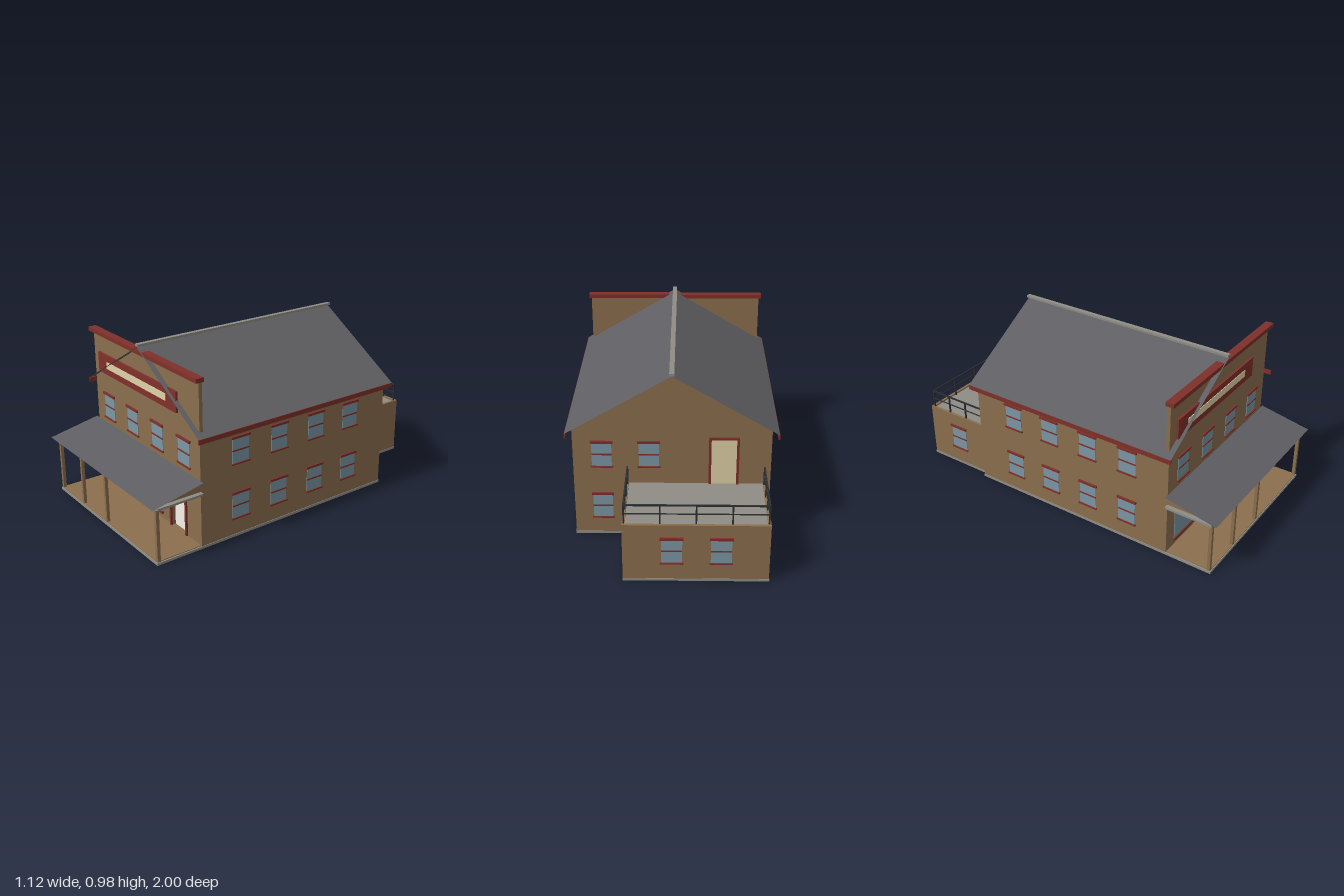
import * as THREE from 'three';

const paint = (name, color, double) => {
  const m = new THREE.MeshStandardMaterial({ color });
  m.name = name;
  if (double) m.side = THREE.DoubleSide;
  return m;
};

export function createModel() {
  const root = new THREE.Group();
  root.name = 'storefrontBuilding';
  const wood = paint('brown siding', 0x8b6f4e);
  const red = paint('dark red trim', 0x80302a);
  const roofGrey = paint('slate roof', 0x5f5f63, true);
  const stone = paint('light grey', 0x8f8d85);
  const glass = paint('blue glass', 0x7c98a6);
  const cream = paint('cream', 0xe0d2a8);
  const plaster = paint('interior plaster', 0xe0dcd4);
  const iron = paint('railing iron', 0x2c2f33);

  const add = (parent, name, geometry, material) => {
    const m = new THREE.Mesh(geometry, material);
    m.name = name;
    parent.add(m);
    return m;
  };
  // box given by its min and max on each axis
  const box = (name, mat, x0, x1, y0, y1, z0, z1, parent = root) => {
    const m = add(parent, name, new THREE.BoxGeometry(x1 - x0, y1 - y0, z1 - z0), mat);
    m.position.set((x0 + x1) / 2, (y0 + y1) / 2, (z0 + z1) / 2);
    return m;
  };
  const polygon = pts => new THREE.Shape(pts.map(p => new THREE.Vector2(...p)));
  const quad = (name, mat, a, b, c, d) => {
    const g = new THREE.BufferGeometry();
    g.setAttribute('position', new THREE.Float32BufferAttribute([...a, ...b, ...c, ...a, ...c, ...d], 3));
    g.computeVertexNormals();
    return add(root, name, g, mat);
  };
  const rect = (x0, x1, y0, y1) => polygon([[x0, y0], [x1, y0], [x1, y1], [x0, y1]]);

  // foundations
  box('foundation', stone, -0.528, 0.528, 0, 0.014, -0.572, 0.972);
  box('annexFoundation', stone, -0.502, 0.247, 0, 0.014, -0.992, -0.572);
  box('porchFloor', wood, -0.52, 0.52, 0.014, 0.018, 0.7, 0.967);

  // false front with an open doorway
  const front = rect(-0.525, 0.525, 0.014, 0.925);
  front.holes.push(rect(0.247, 0.385, 0.018, 0.26));
  add(root, 'falseFront', new THREE.ExtrudeGeometry(front, { depth: 0.02, bevelEnabled: false }), wood)
    .position.z = 0.68;
  box('cornice', red, -0.54, 0.54, 0.922, 0.945, 0.678, 0.725);
  box('signBoard', red, -0.463, 0.336, 0.7, 0.815, 0.7, 0.713);
  box('signPanel', cream, -0.368, 0.24, 0.738, 0.778, 0.713, 0.716);

  // side walls and rear gable
  for (const s of [-1, 1])
    box('sideWall', wood, s * 0.52 - 0.005, s * 0.52 + 0.005, 0.014, 0.65, -0.57, 0.68);
  const gable = polygon([[-0.525, 0.014], [0.525, 0.014], [0.525, 0.652], [0, 0.963], [-0.525, 0.652]]);
  add(root, 'rearGable', new THREE.ExtrudeGeometry(gable, { depth: 0.012, bevelEnabled: false }), wood)
    .position.z = -0.57;

  // plain interior behind the doorway
  box('interiorFloor', plaster, -0.515, 0.515, 0.014, 0.018, -0.558, 0.68);
  box('interiorCeiling', plaster, -0.515, 0.515, 0.31, 0.318, -0.558, 0.68);
  box('interiorRearWall', plaster, -0.515, 0.515, 0.018, 0.31, -0.558, -0.554);
  for (const s of [-1, 1])
    box('interiorSideWall', plaster, s * 0.513 - 0.002, s * 0.513 + 0.002, 0.018, 0.31, -0.554, 0.68);
  box('interiorGlass', glass, 0.322, 0.427, 0.11, 0.25, -0.554, -0.552);
  box('interiorGlassBar', red, 0.322, 0.427, 0.177, 0.185, -0.552, -0.549);

  // main roof
  const eave = 0.56, eaveY = 0.635, ridgeY = 0.966, back = -0.6, fore = 0.73;
  for (const s of [-1, 1]) {
    const pts = [[0, ridgeY, back], [0, ridgeY, fore], [s * eave, eaveY, fore], [s * eave, eaveY, back]];
    quad('roofSlope', roofGrey, ...(s > 0 ? pts : pts.reverse()));
    box('eaveFascia', red, s * 0.558 - 0.004, s * 0.558 + 0.004, 0.608, 0.634, back, fore);
  }
  box('ridgeCap', stone, -0.013, 0.013, 0.969, 0.982, -0.606, fore);

  // porch: sloping sheet, end wedges, beam and posts
  quad('porchRoof', roofGrey, [-0.552, 0.39, 0.7], [-0.552, 0.33, 1], [0.552, 0.33, 1], [0.552, 0.39, 0.7]);
  const wedge = new THREE.ExtrudeGeometry(polygon([[0.7, 0.33], [0.968, 0.33], [0.968, 0.335], [0.7, 0.387]]),
    { depth: 1.05, bevelEnabled: false });
  wedge.rotateY(-Math.PI / 2).translate(0.525, 0, 0);
  add(root, 'porchRoofFill', wedge, wood);
  box('porchCeiling', stone, -0.55, 0.55, 0.318, 0.33, 0.7, 0.972);
  box('porchBeam', stone, -0.527, 0.527, 0.31, 0.318, 0.948, 0.97);
  for (const x of [-0.516, -0.265, 0, 0.516])
    box('porchPost', wood, x - 0.009, x + 0.009, 0.016, 0.312, 0.949, 0.967);

  // rear annex with balcony deck inside a low rim
  box('annex', wood, -0.5, 0.245, 0.014, 0.322, -0.99, -0.57);
  box('balconyDeck', stone, -0.485, 0.23, 0.322, 0.326, -0.975, -0.57);
  box('balconyRim', wood, -0.5, 0.245, 0.322, 0.335, -0.99, -0.975);
  box('balconyRim', wood, -0.5, -0.485, 0.322, 0.335, -0.975, -0.57);
  box('balconyRim', wood, 0.23, 0.245, 0.322, 0.335, -0.975, -0.57);

  // balcony railing on three sides
  const rail = new THREE.Group();
  rail.name = 'balconyRailing';
  root.add(rail);
  const xl = -0.49, xr = 0.235, zb = -0.97, zf = -0.595, t = 0.004;
  const post = (x, z) => box('railPost', iron, x - t, x + t, 0.326, 0.44, z - t, z + t, rail);
  for (let i = 0; i < 5; i++) post(xl + (xr - xl) * i / 4, zb);
  for (const x of [xl, xr])
    for (let i = 1; i < 4; i++) post(x, zb + (zf - zb) * i / 3);
  for (const [y, h] of [[0.44, 0.004], [0.39, 0.0025]]) {
    box('rail', iron, xl, xr, y - h, y + h, zb - h, zb + h, rail);
    for (const x of [xl, xr]) box('rail', iron, x - h, x + h, y - h, y + h, zb, zf, rail);
  }

  // sash window facing local +z
  const sash = (x, y, z, turn) => {
    const g = new THREE.Group();
    g.name = 'window';
    box('glass', glass, -0.053, 0.053, -0.07, 0.07, -0.002, 0.003, g);
    box('sashBar', red, -0.053, 0.053, -0.004, 0.004, 0, 0.006, g);
    box('header', red, -0.06, 0.06, 0.067, 0.08, 0, 0.01, g);
    box('sill', red, -0.06, 0.06, -0.078, -0.07, 0, 0.01, g);
    g.position.set(x, y, z);
    g.rotation.y = turn;
    root.add(g);
  };
  const upper = 0.5, lower = 0.184, half = Math.PI / 2;
  for (const x of [-0.38, -0.127, 0.127, 0.381]) sash(x, upper, 0.7, 0);
  for (const s of [-1, 1])
    for (const z of [0.45, 0.195, -0.06, -0.312])
      for (const y of [lower, upper]) sash(s * 0.525, y, z, s * half);
  for (const [x, y] of [[0.372, upper], [0.122, upper], [0.372, lower]]) sash(x, y, -0.57, Math.PI);
  for (const x of [-0.255, -0.005]) sash(x, lower, -0.99, Math.PI);
  sash(0.245, lower, -0.775, half);
  sash(-0.5, lower, -0.775, -half);

  // shop windows
  for (const [x0, x1] of [[-0.445, -0.167], [-0.066, 0.15]]) {
    box('shopGlass', glass, x0, x1, 0.06, 0.292, 0.698, 0.703);
    box('shopHeader', red, x0 - 0.009, x1 + 0.009, 0.29, 0.305, 0.7, 0.71);
    box('shopSill', red, x0 - 0.009, x1 + 0.009, 0.047, 0.06, 0.7, 0.71);
  }

  // door frames: two jambs and a lintel
  const frame = (name, x0, x1, y0, y1, z0, z1) => {
    box(name, red, x0, x0 + 0.013, y0, y1, z0, z1);
    box(name, red, x1 - 0.013, x1, y0, y1, z0, z1);
    box(name, red, x0 + 0.013, x1 - 0.013, y1 - 0.013, y1, z0, z1);
  };
  frame('frontDoorFrame', 0.235, 0.396, 0.018, 0.272, 0.7, 0.71);
  box('openDoorLeaf', wood, 0.376, 0.384, 0.02, 0.258, 0.545, 0.68);
  frame('balconyDoorFrame', -0.355, -0.195, 0.326, 0.605, -0.58, -0.57);
  box('balconyDoor', cream, -0.342, -0.208, 0.326, 0.592, -0.574, -0.57);

  return root;
}
